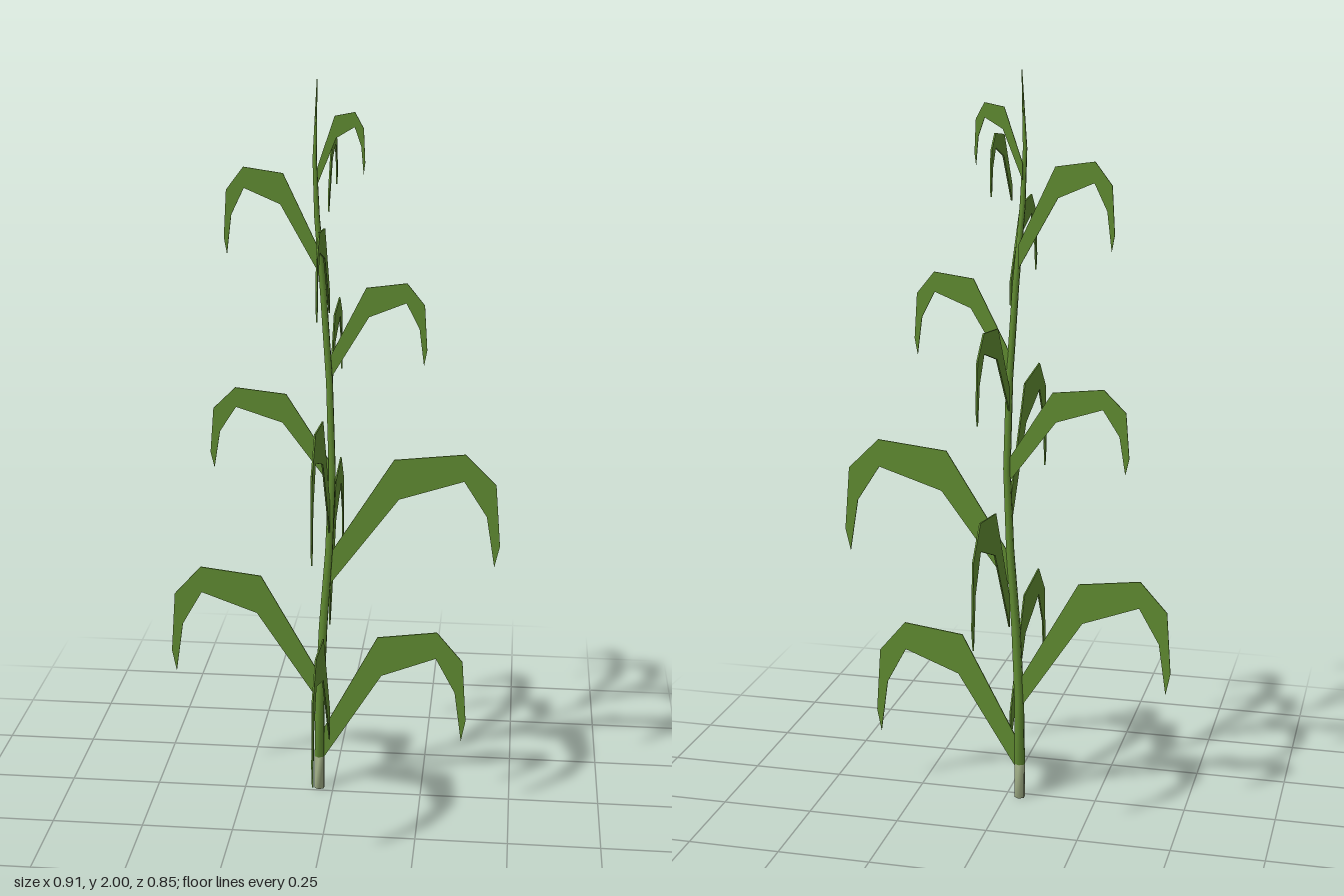
import * as THREE from 'three';

const leafGreen = new THREE.MeshStandardMaterial({ name: 'leaf green', color: 0x638f33 });
const footGreen = new THREE.MeshStandardMaterial({ name: 'pale stalk green', color: 0xa2b088 });

const SIDES = 6;

// Lofts round sections [x, y, z, radius] into a closed stalk
function loft(sections) {
  const pos = [], index = [];
  for (const [x, y, z, r] of sections) {
    for (let i = 0; i < SIDES; i++) {
      const a = (i / SIDES) * Math.PI * 2;
      pos.push(x + r * Math.sin(a), y, z + r * Math.cos(a));
    }
  }
  for (let s = 0; s < sections.length - 1; s++) {
    for (let i = 0; i < SIDES; i++) {
      const a = s * SIDES + i, b = s * SIDES + (i + 1) % SIDES;
      index.push(a, b, b + SIDES, a, b + SIDES, a + SIDES);
    }
  }
  const top = (sections.length - 1) * SIDES;
  for (let i = 1; i < SIDES - 1; i++) {
    index.push(0, i + 1, i, top, top + i, top + i + 1);
  }
  const g = new THREE.BufferGeometry();
  g.setAttribute('position', new THREE.Float32BufferAttribute(pos, 3));
  g.setIndex(index);
  g.computeVertexNormals();
  return g;
}

// Arching, drooping leaf outline in a unit square, root at the origin
const LEAF = [
  [0, -0.03], [0.41, 0.65], [0.785, 0.8], [0.92, 0.54], [0.97, 0.16],
  [1, 0.32], [0.97, 0.78], [0.79, 1], [0.38, 0.945], [0, 0.2],
];
const THICK = 0.004;

function leafGeometry(reach, height) {
  const shape = new THREE.Shape(LEAF.map(([u, v]) => new THREE.Vector2(u * reach, v * height)));
  const g = new THREE.ExtrudeGeometry(shape, { depth: THICK, bevelEnabled: false });
  return g.translate(0, 0, -THICK / 2);
}

export function createModel() {
  const plant = new THREE.Group();
  plant.name = 'leafyStalkPlant';

  const add = (name, geometry, material) => {
    const mesh = new THREE.Mesh(geometry, material);
    mesh.name = name;
    plant.add(mesh);
    return mesh;
  };

  // Bare foot of the stalk, then the slightly swaying green stalk
  add('stalkFoot', loft([[-0.039, 0, -0.02, 0.0155], [-0.039, 0.1, -0.02, 0.015]]), footGreen);
  add('stalk', loft([
    [-0.039, 0.1, -0.02, 0.015], [-0.037, 0.3, -0.021, 0.014],
    [-0.028, 0.5, -0.022, 0.013], [-0.012, 0.72, -0.023, 0.0115],
    [-0.003, 0.95, -0.023, 0.0105], [-0.01, 1.2, -0.022, 0.01],
    [-0.026, 1.45, -0.019, 0.0095], [-0.041, 1.65, -0.008, 0.008],
    [-0.046, 1.8, -0.002, 0.006], [-0.041, 2, -0.018, 0.001],
  ]), leafGreen);

  // Leaves spreading sideways: [side, root x, root y, reach, height]
  [
    [1, -0.03, 0.1, 0.403, 0.39], [-1, -0.045, 0.285, 0.412, 0.375],
    [1, -0.013, 0.63, 0.468, 0.38], [-1, 0, 0.91, 0.335, 0.27],
    [1, -0.013, 1.21, 0.262, 0.265], [-1, -0.035, 1.5, 0.253, 0.273],
    [1, -0.045, 1.727, 0.127, 0.19],
  ].forEach(([side, x, y, reach, height], i) => {
    const leaf = add(`sideLeaf${i + 1}`, leafGeometry(reach, height), leafGreen);
    leaf.position.set(x, y, -0.025);
    leaf.rotation.y = side > 0 ? 0 : Math.PI;
  });

  // Leaves spreading to front and back: [direction, root z, root y, reach, height]
  [
    [1, -0.016, 0.165, 0.442, 0.391], [-1, -0.026, 0.513, 0.398, 0.377],
    [1, -0.016, 0.785, 0.443, 0.382], [-1, -0.02, 1.105, 0.352, 0.265],
    [1, -0.016, 1.4, 0.31, 0.255], [-1, 0, 1.67, 0.222, 0.183],
  ].forEach(([dir, z, y, reach, height], i) => {
    const leaf = add(`frontBackLeaf${i + 1}`, leafGeometry(reach, height), leafGreen);
    leaf.position.set(-0.01, y, z);
    leaf.rotation.y = -dir * Math.PI / 2;
  });

  return plant;
}
